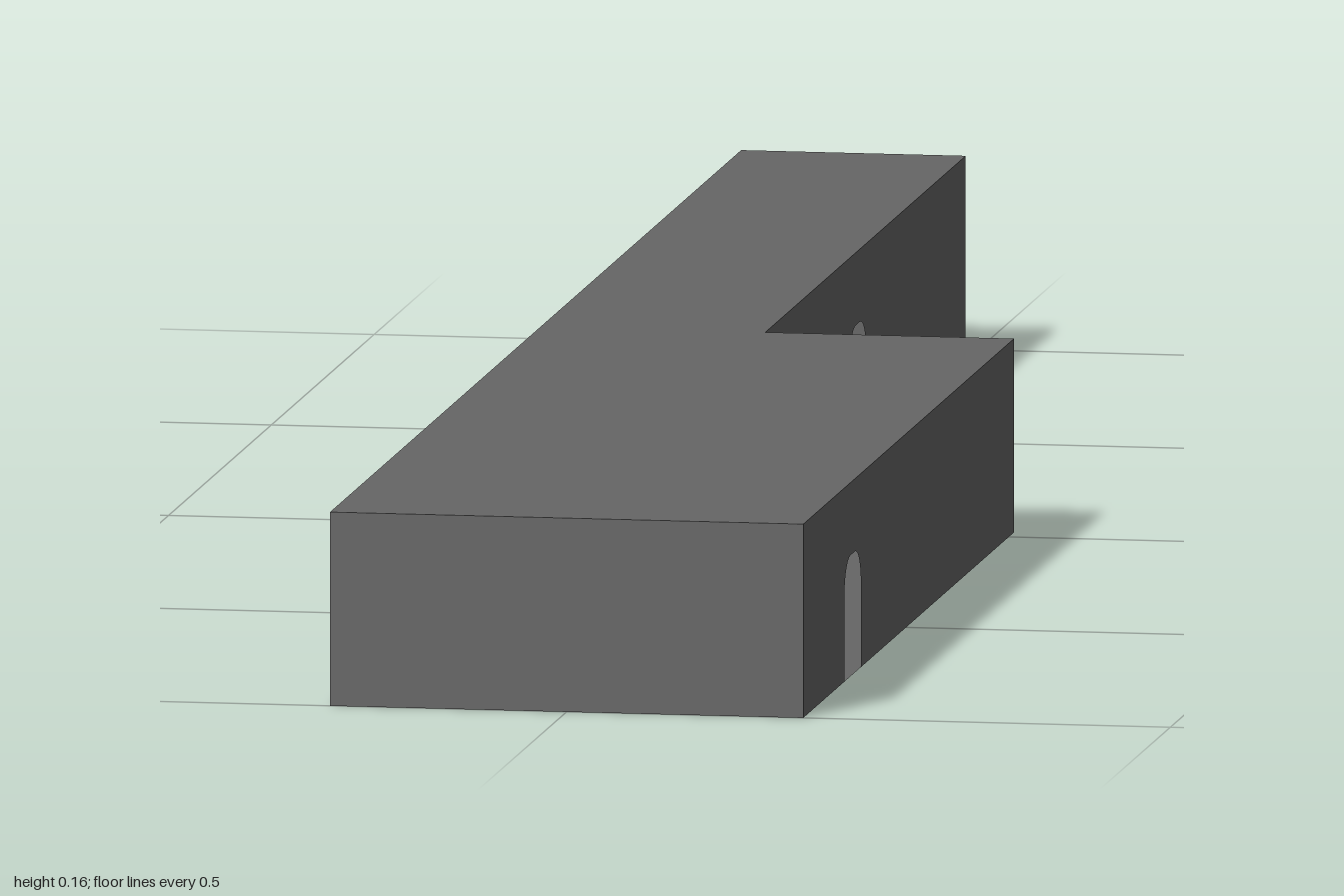
import * as THREE from 'three';

const H = 0.16;                       // wall height
const L = -0.196, R = 0.196;          // outer sides of the wide wing
const INNER = -0.01, STEP = -0.025;   // where the narrow wing begins
const DOOR = { w: 0.08, h: 0.1, r: 0.03 };

export function createModel() {
  const model = new THREE.Group();
  model.name = 'building';
  const concrete = new THREE.MeshStandardMaterial({ color: 0x666666, side: THREE.DoubleSide });
  concrete.name = 'dark grey concrete';

  // Upright panel from u0 to u1, with an optional round-cornered doorway
  function wall(name, u0, u1, x, z, turn, door) {
    const s = new THREE.Shape();
    s.moveTo(u0, 0);
    if (door !== undefined) {
      const a = door - DOOR.w / 2, b = door + DOOR.w / 2, { h, r } = DOOR;
      s.lineTo(a, 0);
      s.lineTo(a, h - r);
      s.absarc(a + r, h - r, r, Math.PI, Math.PI / 2, true);
      s.lineTo(b - r, h);
      s.absarc(b - r, h - r, r, Math.PI / 2, 0, true);
      s.lineTo(b, 0);
    }
    s.lineTo(u1, 0);
    s.lineTo(u1, H);
    s.lineTo(u0, H);
    const mesh = new THREE.Mesh(new THREE.ShapeGeometry(s, 8), concrete);
    mesh.name = name;
    mesh.position.set(x, 0, z);
    mesh.rotation.y = turn;
    model.add(mesh);
  }

  const q = Math.PI / 2;
  wall('frontWall', L, R, 0, 1, 0);
  wall('backWall', -INNER, -L, 0, -1, 2 * q);
  wall('stepWall', -R, -INNER, 0, STEP, 2 * q);
  wall('longSideWall', -1, 1, L, 0, -q);
  wall('wideWingDoorWall', -1, -STEP, R, 0, q, -0.76);
  wall('narrowWingDoorWall', -STEP, 1, INNER, 0, q, 0.475);

  // Stepped floor and flat roof share one outline
  const plan = new THREE.Shape([
    [L, -1], [R, -1], [R, -STEP], [INNER, -STEP], [INNER, 1], [L, 1],
  ].map(([x, y]) => new THREE.Vector2(x, y)));
  for (const [name, y, turn] of [['floor', 0, -q], ['roof', H, -q]]) {
    const slab = new THREE.Mesh(new THREE.ShapeGeometry(plan), concrete);
    slab.name = name;
    slab.rotation.x = turn;
    slab.position.y = y;
    model.add(slab);
  }
  return model;
}
